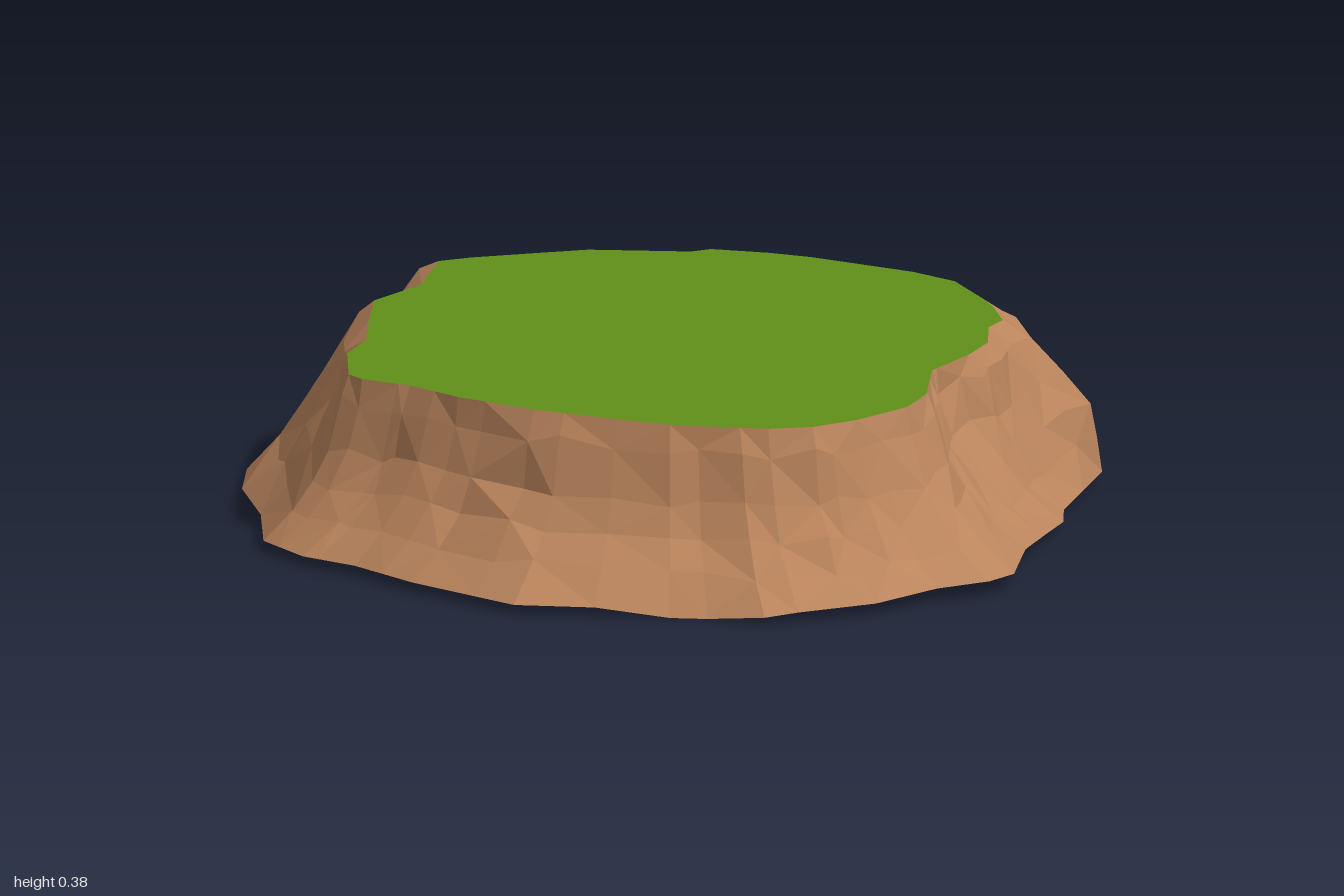
import * as THREE from 'three';

const TOP_Y = 0.385;

// outlines as x, z pairs, clockwise seen from above
const TOP = [
  -0.06, -0.8, 0.2, -0.79, 0.32, -0.76, 0.46, -0.64, 0.57, -0.53, 0.57, -0.44, 0.63, -0.32, 0.64, -0.21,
  0.63, -0.05, 0.66, 0.02, 0.71, 0.13, 0.73, 0.25, 0.68, 0.41, 0.62, 0.51, 0.54, 0.57, 0.33, 0.64,
  0.2, 0.65, 0, 0.66, -0.2, 0.64, -0.34, 0.6, -0.46, 0.6, -0.52, 0.57, -0.59, 0.43, -0.61, 0.29,
  -0.69, 0.12, -0.75, -0.02, -0.72, -0.19, -0.78, -0.39, -0.73, -0.45, -0.62, -0.55, -0.53, -0.63,
  -0.32, -0.72, -0.29, -0.76, -0.16, -0.79,
];
const BASE = [
  -0.1, -0.98, 0.09, -0.95, 0.34, -0.89, 0.62, -0.76, 0.74, -0.66, 0.78, -0.49, 0.82, -0.32, 0.87, -0.22,
  0.89, -0.1, 0.92, 0.06, 1, 0.27, 0.98, 0.35, 0.9, 0.45, 0.83, 0.61, 0.65, 0.8, 0.51, 0.81,
  0.11, 0.97, -0.18, 0.9, -0.36, 0.83, -0.5, 0.81, -0.64, 0.73, -0.75, 0.53, -0.89, 0.35, -0.96, 0.19,
  -0.98, -0.08, -1, -0.5, -0.96, -0.55, -0.76, -0.66, -0.6, -0.78, -0.51, -0.85, -0.33, -0.95, -0.23, -0.96,
];

// slope profiles: [height, share of the way from top outline to base outline]
const HOLLOW = [[0.385, 0], [0.33, 0.07], [0.22, 0.2], [0.15, 0.37], [0.085, 0.64], [0.022, 1]];
const BULGING = [[0.385, 0], [0.35, 0.28], [0.295, 0.48], [0.225, 0.65], [0.11, 0.77], [0.022, 1]];
// shares for the steep buttress at the back left corner
const BUTTRESS = [0, 0.3, 0.65, 0.95, 1, 1];

let seed = 7;
const rand = () => {
  seed = (seed * 16807) % 2147483647;
  return seed / 2147483647 - 0.5;
};

// distance from the centre to an outline in a given direction
function reach(outline, angle) {
  const dx = Math.cos(angle), dz = Math.sin(angle), n = outline.length;
  let best = 0;
  for (let i = 0; i < n; i += 2) {
    const px = outline[i], pz = outline[i + 1];
    const ex = outline[(i + 2) % n] - px, ez = outline[(i + 3) % n] - pz;
    const den = dx * ez - dz * ex;
    if (Math.abs(den) < 1e-9) continue;
    const r = (px * ez - pz * ex) / den;
    const s = (px * dz - pz * dx) / den;
    if (r > best && s >= -1e-6 && s <= 1 + 1e-6) best = r;
  }
  return best;
}

// one column of rock at every corner of the two outlines, skipping near doubles
function columnAngles() {
  const angles = [];
  for (const outline of [BASE, TOP]) {
    for (let i = 0; i < outline.length; i += 2) {
      const a = Math.atan2(outline[i + 1], outline[i]);
      if (angles.every((b) => Math.abs(a - b) > 0.025)) angles.push(a);
    }
  }
  return angles.sort((a, b) => a - b);
}

const { lerp, clamp } = THREE.MathUtils;
const bump = (d, width) => Math.exp(-((d / width) ** 2));

export function createModel() {
  const earth = new THREE.MeshStandardMaterial({ color: 0xba845c, side: THREE.DoubleSide, flatShading: true });
  earth.name = 'earth brown';
  const grass = new THREE.MeshStandardMaterial({ color: 0x609019, side: THREE.DoubleSide, flatShading: true });
  grass.name = 'grass green';

  // rings of points from the grass edge down to the foot
  const rings = HOLLOW.map(() => []);
  const angles = columnAngles();
  for (const a of angles) {
    const rTop = reach(TOP, a), rBase = reach(BASE, a);
    // front and left slopes sweep out, the back bulges
    const hollow = clamp(0.65 + 0.3 * Math.cos(a) + 0.65 * Math.sin(a), 0, 1);
    rings.forEach((ring, k) => {
      let y = lerp(BULGING[k][0], HOLLOW[k][0], hollow);
      let t = lerp(BULGING[k][1], HOLLOW[k][1], hollow);
      if (k > 0 && k < rings.length - 1) {
        t += rand() * 0.08;
        y += rand() * 0.025;
        t = lerp(t, BUTTRESS[k], bump(a + 0.8, 0.17));
        if (k < 3) t -= 0.2 * bump(a + 0.19, 0.08); // small cleft under the edge
      }
      // uneven foot
      if (k === rings.length - 1) y += 0.015 * bump(a - 0.25, 0.4) - 0.024 * bump(a - 1.05, 0.13);
      const r = lerp(rTop, rBase, t);
      ring.push(new THREE.Vector3(r * Math.cos(a), y, r * Math.sin(a)));
    });
  }

  // rocky sides
  const columns = angles.length;
  const positions = rings.flat().flatMap((p) => [p.x, p.y, p.z]);
  const index = [];
  for (let k = 0; k < rings.length - 1; k++) {
    for (let c = 0; c < columns; c++) {
      const n = (c + 1) % columns;
      const t0 = k * columns + c, t1 = k * columns + n;
      const b0 = t0 + columns, b1 = t1 + columns;
      if ((c + k) % 2) index.push(b0, t0, t1, b0, t1, b1);
      else index.push(b0, t0, b1, t0, t1, b1);
    }
  }
  const sideGeometry = new THREE.BufferGeometry();
  sideGeometry.setAttribute('position', new THREE.Float32BufferAttribute(positions, 3));
  sideGeometry.setIndex(index);
  sideGeometry.computeVertexNormals();
  const sides = new THREE.Mesh(sideGeometry, earth);
  sides.name = 'rockySides';

  // flat grass top, open underneath
  const outline = new THREE.Shape(rings[0].map((p) => new THREE.Vector2(p.x, -p.z)));
  const topGeometry = new THREE.ShapeGeometry(outline).rotateX(-Math.PI / 2).translate(0, TOP_Y, 0);
  const top = new THREE.Mesh(topGeometry, grass);
  top.name = 'grassTop';

  const model = new THREE.Group();
  model.name = 'grassyMound';
  model.add(sides, top);
  return model;
}
